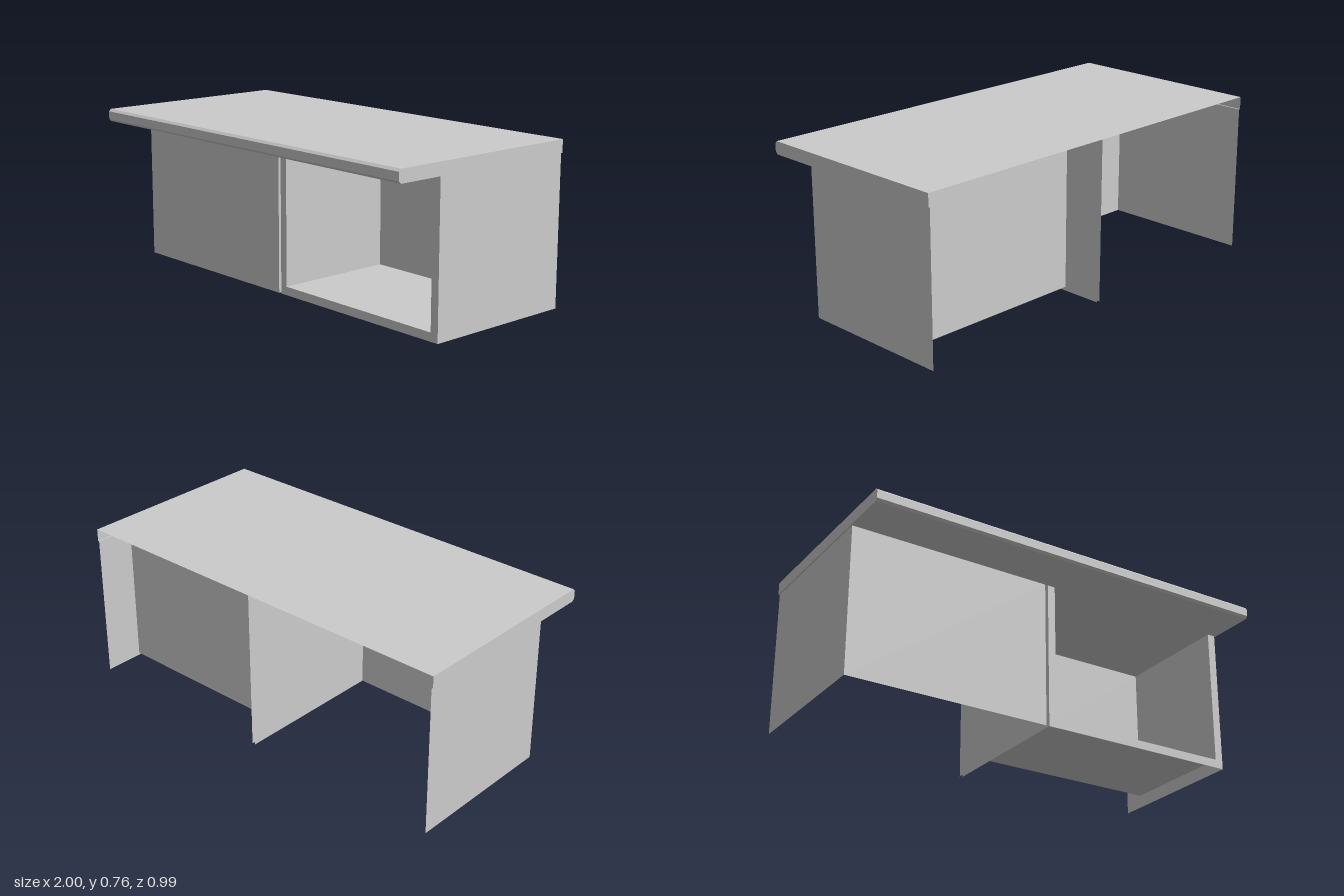
import * as THREE from 'three';

const material = new THREE.MeshStandardMaterial({ color: 0xcccccc, side: THREE.DoubleSide, flatShading: true });

// Main dimensions
const HALF = 1, BACK = -0.495, LIP = 0.495, FRONT = 0.255;
const TOP = 0.76, UNDER = 0.70;
const IN = 0.0075, OUT = 0.993;          // cabinet sides, measured from the centre
const NX0 = 0.045, NX1 = 0.953, NY = 0.04, NZ = -0.335; // niche

function add(group, name, geometry) {
  const mesh = new THREE.Mesh(geometry, material);
  mesh.name = name;
  group.add(mesh);
  return mesh;
}

// Thin sheets: facing z, facing x and lying flat
function sheetZ(group, name, x0, x1, y0, y1, z) {
  add(group, name, new THREE.PlaneGeometry(x1 - x0, y1 - y0)).position.set((x0 + x1) / 2, (y0 + y1) / 2, z);
}
function sheetX(group, name, x, y0, y1, z0, z1) {
  const g = new THREE.PlaneGeometry(z1 - z0, y1 - y0).rotateY(x < 0 ? -Math.PI / 2 : Math.PI / 2);
  add(group, name, g).position.set(x, (y0 + y1) / 2, (z0 + z1) / 2);
}
function sheetY(group, name, x0, x1, y, z0, z1, up = true) {
  const g = new THREE.PlaneGeometry(x1 - x0, z1 - z0).rotateX(up ? -Math.PI / 2 : Math.PI / 2);
  add(group, name, g).position.set((x0 + x1) / 2, y, (z0 + z1) / 2);
}

// Worktop: hollow shell with a bevelled front lip, open at the back
function createWorktop() {
  const group = new THREE.Group();
  group.name = 'worktop';
  const profile = [
    [BACK, TOP], [0.484, TOP], [LIP, 0.749], [LIP, 0.711], [0.484, UNDER], [FRONT, UNDER], [FRONT, TOP],
  ];
  const pos = [], index = [];
  profile.slice(1).forEach(([z1, y1], i) => {
    const [z0, y0] = profile[i];
    pos.push(-HALF, y0, z0, HALF, y0, z0, HALF, y1, z1, -HALF, y1, z1);
    const a = i * 4;
    index.push(a, a + 2, a + 1, a, a + 3, a + 2);
  });
  const shell = new THREE.BufferGeometry();
  shell.setAttribute('position', new THREE.Float32BufferAttribute(pos, 3));
  shell.setIndex(index);
  shell.computeVertexNormals();
  add(group, 'worktopShell', shell);

  // End caps and the slim ledge over each cabinet side
  const outline = profile.slice(0, 5).concat([[BACK, UNDER]]);
  for (const s of [-1, 1]) {
    const shape = new THREE.Shape(outline.map(([z, y]) => new THREE.Vector2(-s * z, y)));
    const cap = new THREE.ShapeGeometry(shape).rotateY(s * Math.PI / 2);
    add(group, 'worktopEnd', cap).position.x = s * HALF;
    sheetY(group, 'worktopLedge', s > 0 ? OUT : -HALF, s > 0 ? HALF : -OUT, UNDER, BACK, FRONT, false);
  }
  return group;
}

// Closed cabinet: front and two sides, open behind and below
function createClosedCabinet() {
  const group = new THREE.Group();
  group.name = 'closedCabinet';
  sheetZ(group, 'frontPanel', -OUT, -IN, 0, UNDER, FRONT);
  return group;
}

// Open cabinet: front frame around a recessed niche
function createOpenCabinet() {
  const group = new THREE.Group();
  group.name = 'openCabinet';
  sheetZ(group, 'frameBottom', IN, OUT, 0, NY, FRONT);
  sheetZ(group, 'frameInnerPost', IN, NX0, NY, UNDER, FRONT);
  sheetZ(group, 'frameOuterPost', NX1, OUT, NY, UNDER, FRONT);
  sheetY(group, 'nicheFloor', NX0, NX1, NY, NZ, FRONT);
  sheetY(group, 'nicheCeiling', NX0, NX1, UNDER, NZ, FRONT, false);
  sheetZ(group, 'nicheBack', NX0, NX1, NY, UNDER, NZ);
  for (const x of [NX0, NX1]) sheetX(group, 'nicheSide', x, NY, UNDER, NZ, FRONT);
  return group;
}

export function createModel() {
  const model = new THREE.Group();
  model.name = 'counter';
  const closed = createClosedCabinet(), open = createOpenCabinet();
  // Matching side panels; the two inner ones leave a narrow gap
  for (const [cabinet, s] of [[closed, -1], [open, 1]]) {
    sheetX(cabinet, 'outerSide', s * OUT, 0, UNDER, BACK, FRONT);
    sheetX(cabinet, 'innerSide', s * IN, 0, TOP, BACK, FRONT);
  }
  model.add(createWorktop(), closed, open);
  return model;
}
